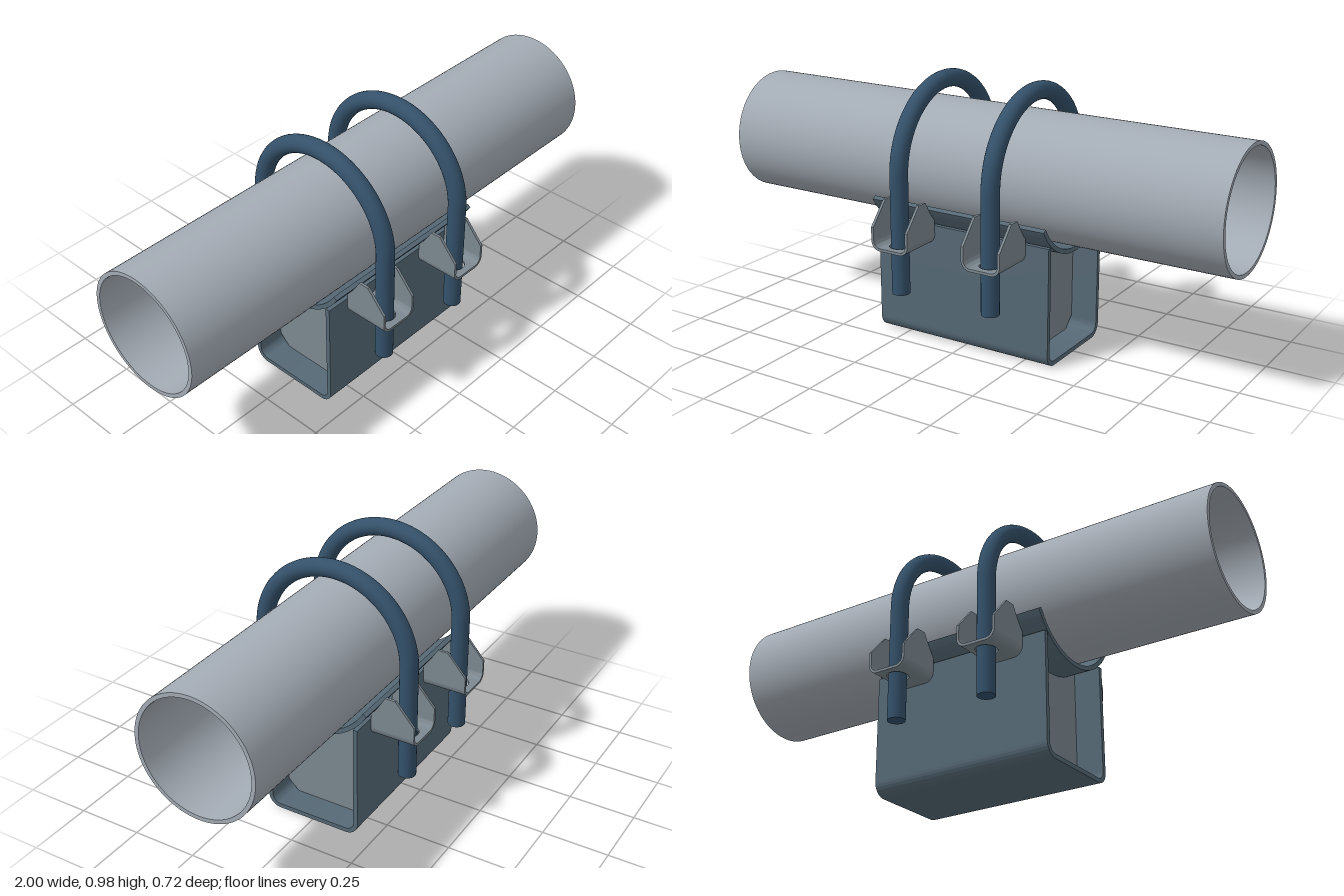
import * as THREE from 'three';
import { toCreasedNormals } from 'three/addons/utils/BufferGeometryUtils.js';

const mat = (color) => new THREE.MeshStandardMaterial({ color });
const steel = mat(0xa3abb4), plateGrey = mat(0x7c8890), channelBlue = mat(0x566976), boltBlue = mat(0x34516a);

const PIPE_Y = 0.65;       // pipe axis height
const SADDLE_R = 0.262;    // outer radius of the saddle plate
const rad = THREE.MathUtils.degToRad;

function part(name, geometry, material, parent) {
  const mesh = new THREE.Mesh(geometry, material);
  mesh.name = name;
  parent.add(mesh);
  return mesh;
}

function extrude(shape, depth) {
  const geo = new THREE.ExtrudeGeometry(shape, { depth, bevelEnabled: false, curveSegments: 40 });
  return toCreasedNormals(geo, 0.5);
}

// Extrude a (z, y) section along x, centred on x = 0
function alongX(shape, depth) {
  return extrude(shape, depth).rotateY(-Math.PI / 2).translate(depth / 2, 0, 0);
}

function polygon(points) {
  return new THREE.Shape(points.map(([x, y]) => new THREE.Vector2(x, y)));
}

// Ring sector between two radii
function sector(cx, cy, inner, outer, a0, a1) {
  const s = new THREE.Shape();
  s.absarc(cx, cy, outer, a0, a1, false);
  s.absarc(cx, cy, inner, a1, a0, true);
  s.closePath();
  return s;
}

function pipeGeometry() {
  const s = new THREE.Shape();
  s.absarc(0, PIPE_Y, 0.228, 0, Math.PI * 2, false);
  const bore = new THREE.Path();
  bore.absarc(0, PIPE_Y, 0.213, 0, Math.PI * 2, true);
  s.holes.push(bore);
  return alongX(s, 2);
}

// U-shaped base with rounded bottom corners
function channelGeometry() {
  const w = 0.19, t = 0.017, r = 0.05, top = 0.45;
  const s = new THREE.Shape();
  s.moveTo(-w, top);
  s.lineTo(-w, r);
  s.absarc(-w + r, r, r, Math.PI, Math.PI * 1.5, false);
  s.absarc(w - r, r, r, Math.PI * 1.5, Math.PI * 2, false);
  s.lineTo(w, top);
  s.lineTo(w - t, top);
  s.absarc(w - r, r, r - t, Math.PI * 2, Math.PI * 1.5, true);
  s.absarc(-w + r, r, r - t, Math.PI * 1.5, Math.PI, true);
  s.lineTo(-w + t, top);
  s.closePath();
  return alongX(s, 0.72);
}

// Upright plate inside the channel, cut to the curve of the saddle
function gussetGeometry() {
  const w = 0.17, a = Math.acos(w / SADDLE_R);
  const s = new THREE.Shape();
  s.moveTo(-w, 0.06);
  s.lineTo(-0.128, 0.018);
  s.lineTo(0.128, 0.018);
  s.lineTo(w, 0.06);
  s.absarc(0, PIPE_Y, SADDLE_R, -a, -Math.PI + a, true);
  s.closePath();
  return alongX(s, 0.017);
}

// Bent bracket that holds one leg of a U-bolt, on the front side
function createClip() {
  const clip = new THREE.Group();
  const half = 0.078, t = 0.01, r = 0.036, y0 = 0.38, zIn = 0.19, zOut = 0.36;
  const flat = half - r, bendY = y0 + r;

  const cheek = new THREE.Shape();
  cheek.moveTo(zIn, bendY);
  cheek.lineTo(zOut, bendY);
  cheek.lineTo(zOut, 0.465);
  cheek.lineTo(0.285, 0.55);
  cheek.lineTo(0.245, 0.55);
  cheek.absarc(0, PIPE_Y, SADDLE_R, rad(-30), -Math.acos(zIn / SADDLE_R), true);
  cheek.closePath();
  const cheekGeo = alongX(cheek, t);

  for (const side of [-1, 1]) {
    part('clipCheek', cheekGeo, plateGrey, clip).position.x = side * (half - t / 2);
    const a0 = side > 0 ? Math.PI * 1.5 : Math.PI;
    const bend = sector(side * flat, bendY, r - t, r, a0, a0 + Math.PI / 2);
    part('clipBend', extrude(bend, zOut - zIn).translate(0, 0, zIn), plateGrey, clip);
  }

  // Floor with a slot for the bolt leg
  const floor = polygon([[-flat, zIn], [flat, zIn], [flat, zOut], [-flat, zOut]]);
  const slot = new THREE.Path();
  slot.absarc(0, 0.297, 0.037, 0, Math.PI, false);
  slot.absarc(0, 0.289, 0.037, Math.PI, Math.PI * 2, false);
  slot.closePath();
  floor.holes.push(slot);
  part('clipFloor', extrude(floor, t).rotateX(Math.PI / 2).translate(0, y0 + t, 0), plateGrey, clip);
  return clip;
}

function createUBolt() {
  const bolt = new THREE.Group();
  const R = 0.294, r = 0.033, low = 0.21;
  const arch = new THREE.TorusGeometry(R, r, 24, 64, Math.PI).rotateY(Math.PI / 2);
  part('boltArch', arch, boltBlue, bolt).position.y = PIPE_Y;
  const leg = new THREE.CylinderGeometry(r, r, PIPE_Y - low, 24);
  for (const side of [-1, 1]) {
    part('boltLeg', leg, boltBlue, bolt).position.set(0, (PIPE_Y + low) / 2, side * R);
  }
  return bolt;
}

export function createModel() {
  const model = new THREE.Group();
  model.name = 'pipeShoeClamp';

  part('pipe', pipeGeometry(), steel, model);
  part('baseChannel', channelGeometry(), channelBlue, model);

  const saddle = sector(0, PIPE_Y, 0.245, SADDLE_R, rad(-150), rad(-30));
  part('saddlePlate', alongX(saddle, 0.72), channelBlue, model);

  const gusset = gussetGeometry();
  for (const side of [-1, 1]) {
    part('gussetPlate', gusset, plateGrey, model).position.x = side * 0.25;

    const bolt = createUBolt();
    bolt.name = 'uBolt';
    bolt.position.x = side * 0.19;
    model.add(bolt);

    // Front and back clip on each bolt
    for (const turn of [0, Math.PI]) {
      const clip = createClip();
      clip.name = turn ? 'backClip' : 'frontClip';
      clip.position.x = side * 0.19;
      clip.rotation.y = turn;
      model.add(clip);
    }
  }
  return model;
}
